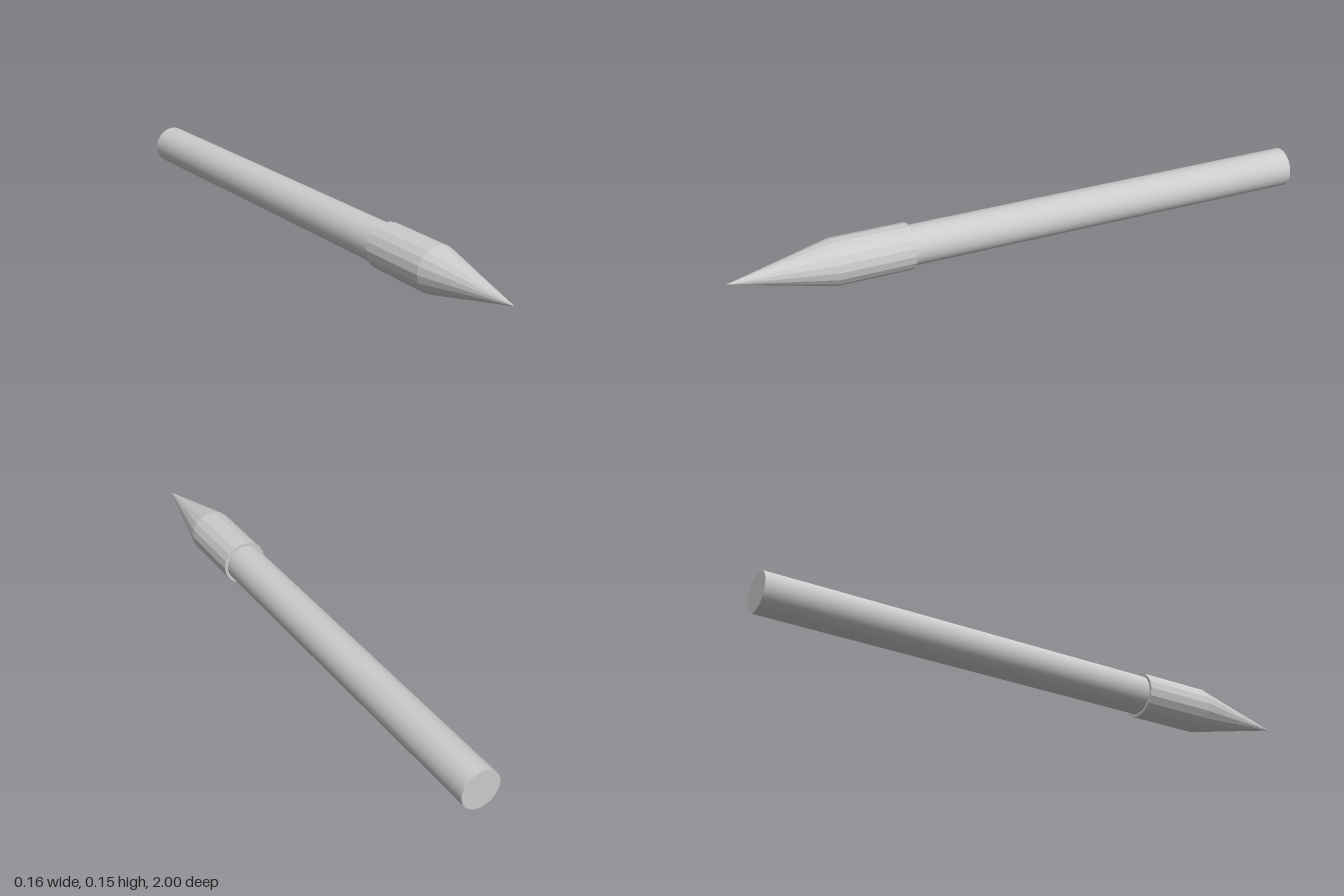
import * as THREE from 'three';

const AXIS_Y = 0.077;   // height of the long axis
const HEAD_R = 0.078;
const SHAFT_R = 0.067;
const COLLAR_Z = 0.405; // rear rim of the head
const SHOULDER_Z = 0.66;
const SIDES = 18;

export function createModel() {
  const model = new THREE.Group();
  const grey = new THREE.MeshStandardMaterial({ color: 0xcccccc });
  const faceted = new THREE.MeshStandardMaterial({ color: 0xcccccc, flatShading: true });

  const add = (name, geometry, material) => {
    geometry.rotateX(Math.PI / 2); // lay the turning axis along +z
    const mesh = new THREE.Mesh(geometry, material);
    mesh.name = name;
    mesh.position.y = AXIS_Y;
    model.add(mesh);
    return mesh;
  };

  // Smooth round shaft, ending just inside the head
  const shaftLength = 1 + COLLAR_Z + 0.02;
  const shaft = add('shaft', new THREE.CylinderGeometry(SHAFT_R, SHAFT_R, shaftLength, 48), grey);
  shaft.position.z = -1 + shaftLength / 2;

  // Faceted head: rear rim, straight collar and pointed tip, with flats at top and bottom
  const profile = [
    [0, COLLAR_Z], [HEAD_R, COLLAR_Z], [HEAD_R, SHOULDER_Z], [0, 1],
  ].map(([r, z]) => new THREE.Vector2(r, z));
  add('head', new THREE.LatheGeometry(profile, SIDES, Math.PI / SIDES), faceted);

  return model;
}
